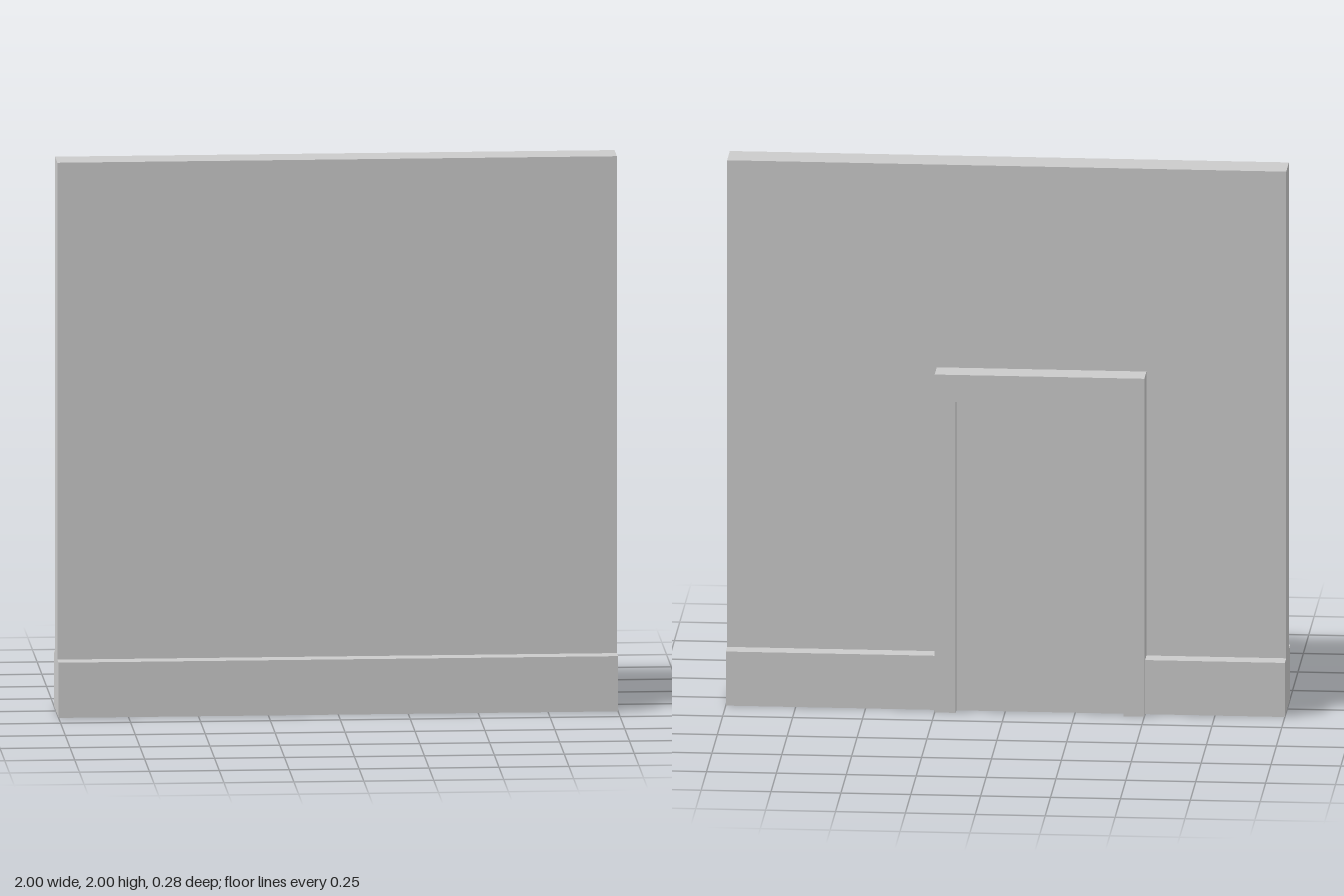
import * as THREE from 'three';

const material = new THREE.MeshStandardMaterial({ color: 0xcccccc, flatShading: true });

// Box given by its minimum and maximum corners
function block(name, [x0, y0, z0], [x1, y1, z1]) {
  const geometry = new THREE.BoxGeometry(x1 - x0, y1 - y0, z1 - z0);
  geometry.translate((x0 + x1) / 2, (y0 + y1) / 2, (z0 + z1) / 2);
  const mesh = new THREE.Mesh(geometry, material);
  mesh.name = name;
  return mesh;
}

export function createModel() {
  const group = new THREE.Group();
  group.name = 'wallWithDoor';

  const wallFront = 0.08, wallBack = -0.045;
  const skirtFront = 0.1425, skirtBack = -0.1075, skirtTop = 0.2;
  const frameBack = -0.1425, frameTop = 1.25;
  const left = 0.25, right = -0.5, jamb = 0.075, lintel = 0.1;

  // Wall slab and the plinths along its foot, interrupted by the doorway at the back
  group.add(
    block('wall', [-1, 0, wallBack], [1, 2, wallFront]),
    block('frontPlinth', [-1, 0, wallFront], [1, skirtTop, skirtFront]),
    block('backPlinthRight', [-1, 0, skirtBack], [right, skirtTop, wallBack]),
    block('backPlinthLeft', [left, 0, skirtBack], [1, skirtTop, wallBack]),
  );

  // Door frame: one upside-down U, extruded out from the back of the wall
  const outline = new THREE.Shape([
    [right, 0], [right + jamb, 0], [right + jamb, frameTop - lintel],
    [left - jamb, frameTop - lintel], [left - jamb, 0], [left, 0],
    [left, frameTop], [right, frameTop],
  ].map(([x, y]) => new THREE.Vector2(x, y)));
  const frame = new THREE.Mesh(
    new THREE.ExtrudeGeometry(outline, { depth: wallBack - frameBack, bevelEnabled: false }),
    material,
  );
  frame.name = 'doorFrame';
  frame.position.z = frameBack;
  group.add(frame);

  // Door leaf, set slightly back in the frame
  group.add(block('door', [right + jamb, 0, skirtBack], [left - jamb, frameTop - lintel, wallBack]));

  return group;
}
